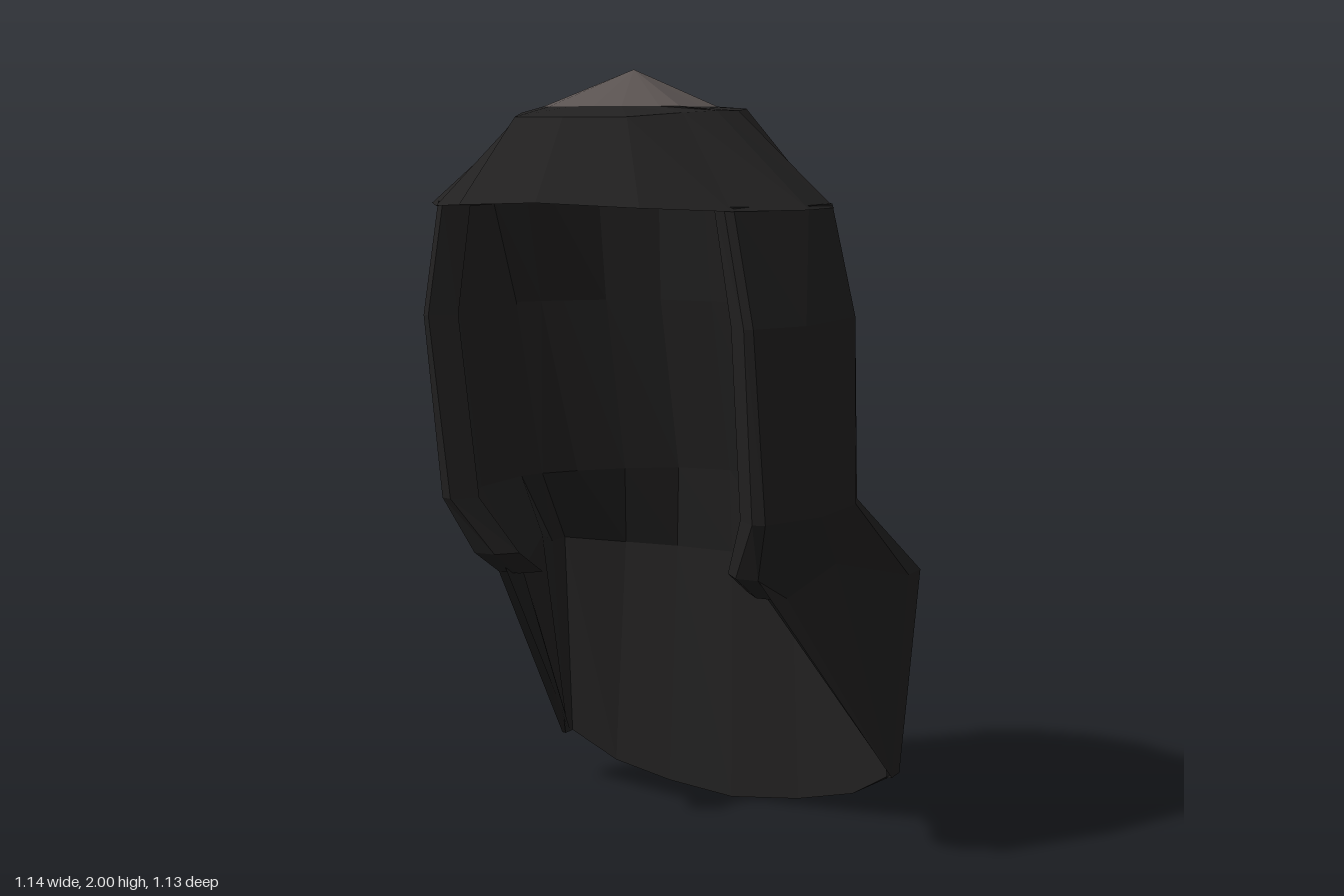
import * as THREE from 'three';

const dark = new THREE.MeshStandardMaterial({ color: 0x222121, side: THREE.DoubleSide });
dark.name = 'charcoal leather';
const grey = new THREE.MeshStandardMaterial({ color: 0x5a5351, side: THREE.DoubleSide });
grey.name = 'warm grey';

// Add a flat triangle, dropping collapsed ones
function tri(out, a, b, c) {
  const [p, q, r] = [a, b, c].map((v) => new THREE.Vector3(...v));
  if (q.clone().sub(p).cross(r.clone().sub(p)).length() > 1e-6) out.push(...a, ...b, ...c);
}

function quad(out, a, b, c, d) {
  tri(out, a, b, c);
  tri(out, b, d, c);
}

// Complete a half ring (back to front on +x) with its mirror image
function mirrorRing(half) {
  return [...half, ...half.map(([x, y, z]) => [-x, y, z]).reverse()];
}

// Skin a stack of closed rings, top to bottom
function skin(out, rings) {
  for (let k = 0; k < rings.length - 1; k++) {
    const u = rings[k], l = rings[k + 1], n = u.length;
    for (let i = 0; i < n; i++) quad(out, u[i], u[(i + 1) % n], l[i], l[(i + 1) % n]);
  }
}

function makeMesh(name, positions, material) {
  const g = new THREE.BufferGeometry();
  g.setAttribute('position', new THREE.Float32BufferAttribute(positions, 3));
  g.computeVertexNormals();
  const m = new THREE.Mesh(g, material);
  m.name = name;
  return m;
}

const atY = (y, pts) => pts.map(([x, z]) => [x, y, z]);

export function createModel() {
  const group = new THREE.Group();
  group.name = 'hood';

  // Hood wall, open at the face, with cheek pieces and flared neck cape
  const levels = [
    atY(1.68, [[0, -0.375], [0.15, -0.355], [0.31, -0.265], [0.4, -0.13], [0.45, -0.07],
      [0.51, 0.03], [0.51, 0.17], [0.4, 0.35], [0.38, 0.36]]),
    atY(1.4, [[0, -0.42], [0.17, -0.4], [0.32, -0.32], [0.42, -0.23], [0.47, -0.17],
      [0.52, -0.1], [0.52, 0.2], [0.45, 0.345], [0.43, 0.355]]),
    atY(0.93, [[0, -0.54], [0.17, -0.51], [0.31, -0.41], [0.42, -0.3], [0.49, -0.2],
      [0.52, -0.12], [0.52, 0.1], [0.45, 0.27], [0.42, 0.28]]),
    [[0, 0.7, -0.56], [0.2, 0.7, -0.555], [0.38, 0.7, -0.53], [0.568, 0.71, -0.455], [0.568, 0.71, -0.37],
      [0.46, 0.77, -0.14], [0.41, 0.71, 0.05], [0.4, 0.78, 0.2], [0.34, 0.78, 0.2]],
    [[0, 0, -0.565], [0.2, 0.02, -0.558], [0.37, 0.06, -0.535], [0.505, 0.14, -0.49], [0.505, 0.14, -0.435],
      [0.505, 0.14, -0.435], [0.505, 0.14, -0.435], [0.4, 0.71, 0.08], [0.34, 0.71, 0.08]],
  ];
  // The lining is the outer wall moved inward, thinning toward the cape hem
  const lining = (half) => half.map(([x, y, z], c) => [
    x * (1 - 0.13 * Math.min(1, y / 0.7)), y, z + 0.06 - 0.11 * c / 8]);
  const shell = [];
  skin(shell, levels.map((half) => mirrorRing([...half, ...lining(half).reverse()])));
  // Rims joining wall and lining
  [levels[0], levels[levels.length - 1]].forEach((half, end) => {
    const inner = lining(half);
    for (let c = 0; c < 8; c++) {
      for (const s of [1, -1]) {
        const [a, b, p, q] = [half[c], half[c + 1], inner[c], inner[c + 1]].map(([x, y, z]) => [s * x, y, z]);
        if ((s > 0) === (end === 1)) quad(shell, a, b, p, q);
        else quad(shell, b, a, q, p);
      }
    }
  });
  group.add(makeMesh('hoodWall', shell, dark));

  // Crown sloping out to a peaked brim, with a hollow underside
  const button = [[0, -0.115], [0.08, -0.11], [0.15, -0.08], [0.18, -0.02], [0.18, 0.07],
    [0.187, 0.2], [0.15, 0.235], [0.07, 0.275], [0, 0.285]];
  const upper = [[0, 1.905, -0.19], [0.1, 1.905, -0.17], [0.18, 1.905, -0.13], [0.24, 1.905, -0.06], [0.27, 1.9, 0.05],
    [0.255, 1.9, 0.14], [0.22, 1.895, 0.25], [0.15, 1.885, 0.4], [0, 1.885, 0.435]];
  const lower = [[0, 1.68, -0.38], [0.16, 1.68, -0.36], [0.32, 1.68, -0.27], [0.41, 1.68, -0.13], [0.515, 1.67, 0.03],
    [0.52, 1.67, 0.19], [0.4, 1.67, 0.36], [0.24, 1.68, 0.51], [0, 1.69, 0.565]];
  const inset = (half, s, dy) => half.map(([x, y, z]) => [x * s, y + dy, 0.05 + (z - 0.05) * s]);
  const crown = [];
  skin(crown, [atY(1.91, button), upper, lower, inset(lower, 0.8, 0),
    inset(upper, 0.85, -0.05), upper.map(() => [0, 1.86, 0.08])].map(mirrorRing));
  group.add(makeMesh('crownAndBrim', crown, dark));

  // Low pointed cap on top
  const cap = [];
  skin(cap, [button.map(() => [0, 2, 0.08]), atY(1.91, button)].map(mirrorRing));
  group.add(makeMesh('topCap', cap, grey));

  return group;
}
